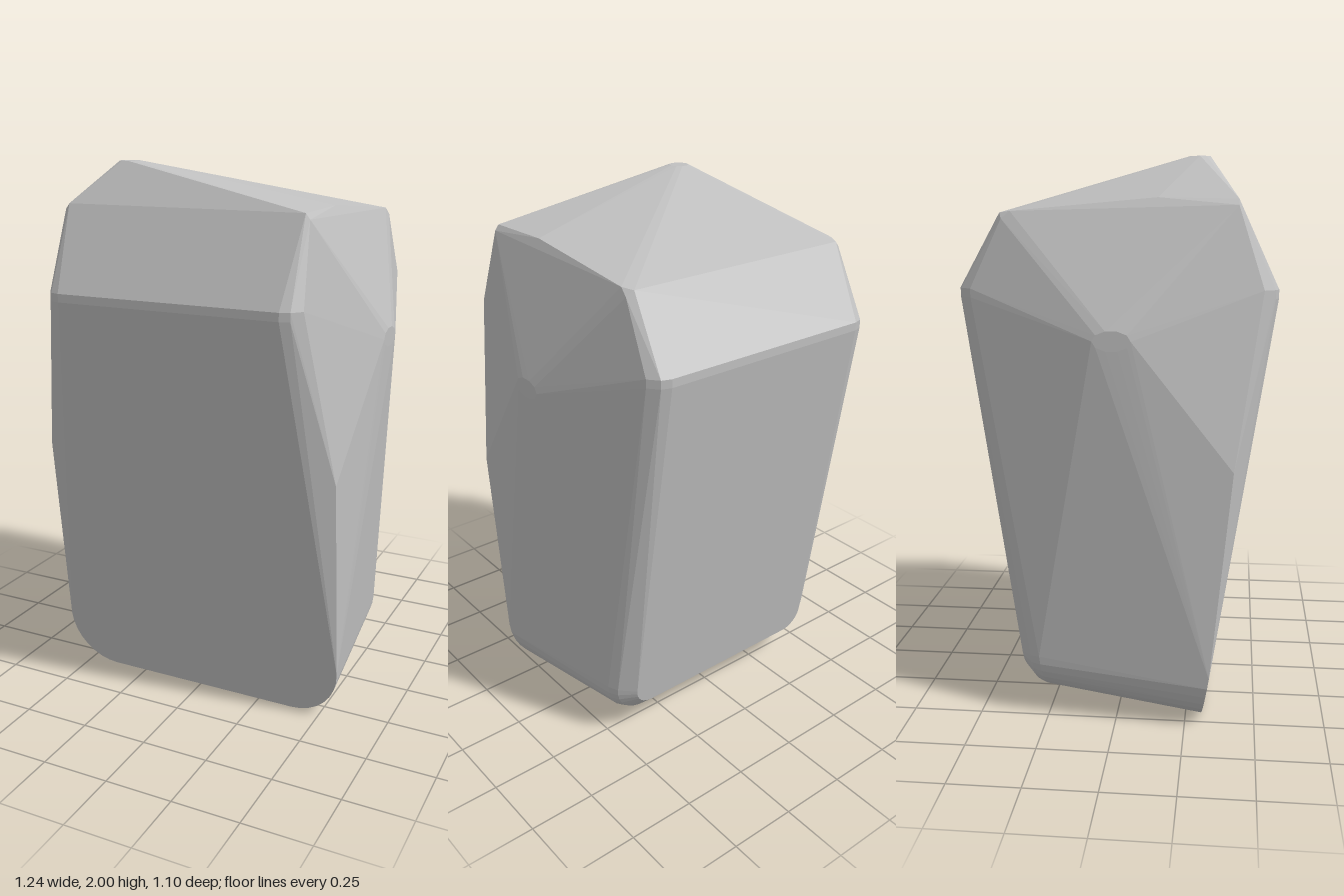
import * as THREE from 'three';
import { ConvexGeometry } from 'three/addons/geometries/ConvexGeometry.js';

export function createModel() {
  const group = new THREE.Group();
  const stone = new THREE.MeshStandardMaterial({ color: 0xc0c0c0 });
  stone.name = 'pale grey';

  const points = [];
  const add = (x, y, z) => points.push(new THREE.Vector3(x, y, z));
  const pair = (x, y, z) => { add(x, y, z); add(-x, y, z); };

  // Rounded lower corners: front rim, back rim and its bevel
  const steps = 8;
  for (let i = 0; i <= steps; i++) {
    const a = (i / steps) * Math.PI / 2;
    const s = Math.sin(a), c = 1 - Math.cos(a);
    const y = 0.2 * c;
    pair(0.385 + 0.19 * s, y, 0.305 + 0.159 * y);
    pair(0.35 + 0.16 * s, 0.07 + 0.16 * c, -0.26 - 0.02 * c);
    pair(0.35 + 0.14 * s, 0.085 + 0.14 * c, -0.295 - 0.02 * c);
    pair(0.35 + 0.08 * s, 0.135 + 0.08 * c, -0.345 - 0.012 * c);
  }

  // Shoulder rims at front and back, with small corner chamfers
  for (const f of [1, -1]) {
    for (const y of [1.525, 1.555]) {
      pair(0.42, y, 0.55 * f);
      pair(0.455, y, 0.538 * f);
      pair(0.485, y, 0.5 * f);
    }
  }

  // Front side corners, where the front face narrows
  pair(0.578, 0.95, 0.41);

  // Blunt bulge on each side
  for (let i = 0; i < 10; i++) {
    const a = (i / 10) * Math.PI * 2;
    pair(0.618, 1.395 + 0.035 * Math.sin(a), 0.065 * Math.cos(a));
  }

  // Upper corners
  pair(0.45, 1.855, 0.41);
  pair(0.465, 1.835, 0.41);
  pair(0.45, 1.86, 0.14);
  pair(0.47, 1.815, -0.36);
  pair(0.45, 1.81, -0.4);
  pair(0.475, 1.79, -0.39);

  // Off-centre blunt peak
  for (let i = 0; i < 10; i++) {
    const a = (i / 10) * Math.PI * 2;
    add(-0.277 + 0.037 * Math.cos(a), 2, 0.273 + 0.037 * Math.sin(a));
  }

  const body = new THREE.Mesh(new ConvexGeometry(points), stone);
  body.name = 'stoneBlock';
  group.add(body);
  return group;
}
